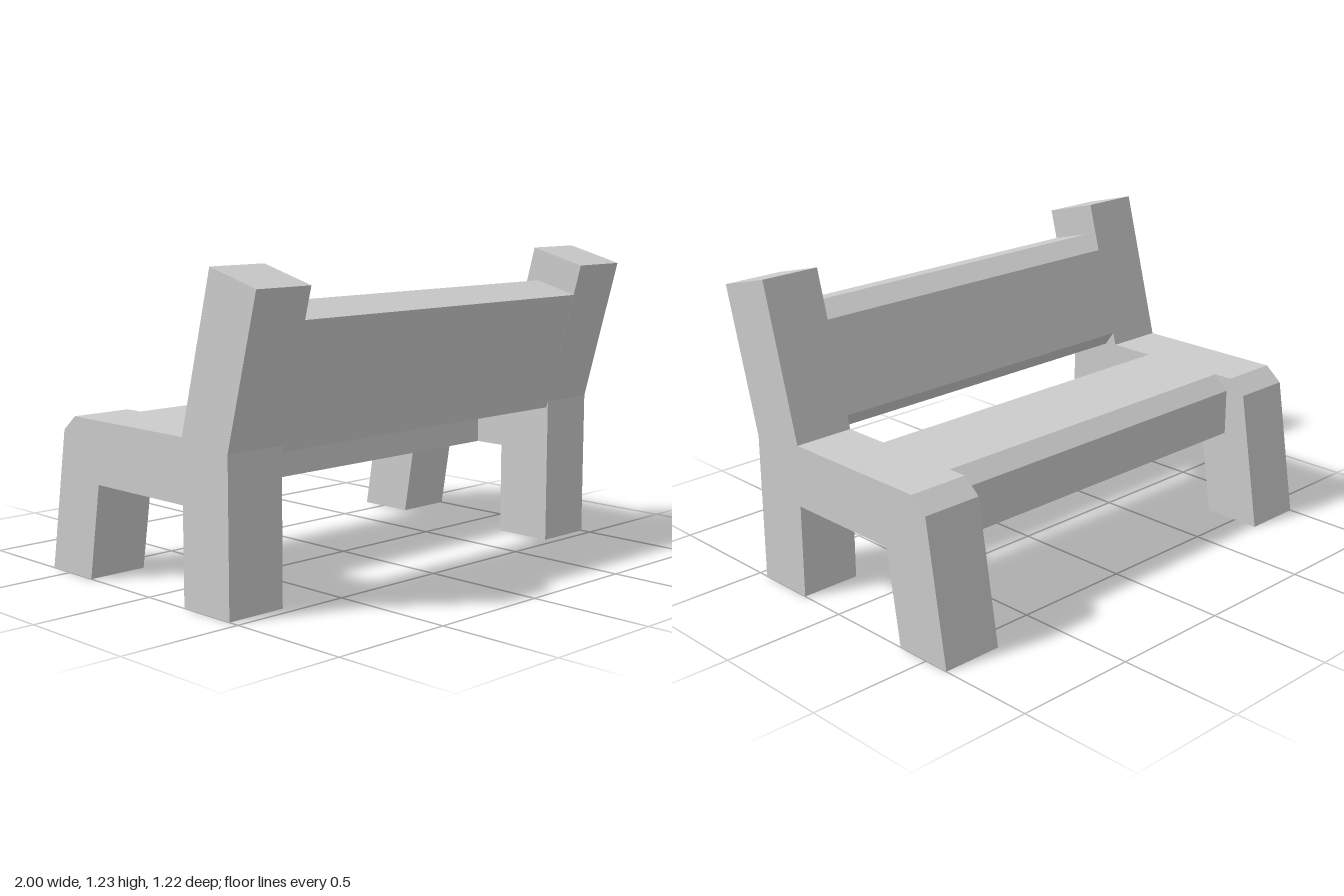
import * as THREE from 'three';

const material = new THREE.MeshStandardMaterial({ color: 0xcccccc, flatShading: true });

// Extrudes a side outline, given as [z, y] points, along x and centres it on centreX.
function sideExtrusion(name, outline, width, centreX) {
  const shape = new THREE.Shape(outline.map(([z, y]) => new THREE.Vector2(z, y)));
  const geometry = new THREE.ExtrudeGeometry(shape, { depth: width, bevelEnabled: false });
  geometry.translate(0, 0, -width / 2);
  geometry.rotateY(-Math.PI / 2);
  const mesh = new THREE.Mesh(geometry, material);
  mesh.name = name;
  mesh.position.x = centreX;
  return mesh;
}

export function createModel() {
  const bench = new THREE.Group();
  bench.name = 'bench';

  // End frames: both legs, armless seat rail and leaning back post in one outline
  const frameOutline = [
    [0.455, 0], [0.455, 0.593], [0.61, 1.166], [0.37, 1.23],
    [0.207, 0.623], [-0.442, 0.623], [-0.513, 0.564], [-0.607, 0],
    [-0.36, 0], [-0.297, 0.377], [0.207, 0.377], [0.207, 0],
  ];
  for (const [name, side] of [['leftFrame', 1], ['rightFrame', -1]]) {
    bench.add(sideExtrusion(name, frameOutline, 0.25, side * 0.875));
  }

  // Seat slab with chamfered top edges
  bench.add(sideExtrusion('seat', [
    [-0.425, 0.377], [-0.425, 0.565], [-0.362, 0.623],
    [0.01, 0.623], [0.073, 0.565], [0.073, 0.377],
  ], 1.5, 0));

  // Leaning backrest with chamfered front edges
  bench.add(sideExtrusion('backrest', [
    [0.448, 0.567], [0.577, 1.045], [0.391, 1.095],
    [0.318, 1.036], [0.221, 0.675], [0.264, 0.616],
  ], 1.5, 0));

  return bench;
}
